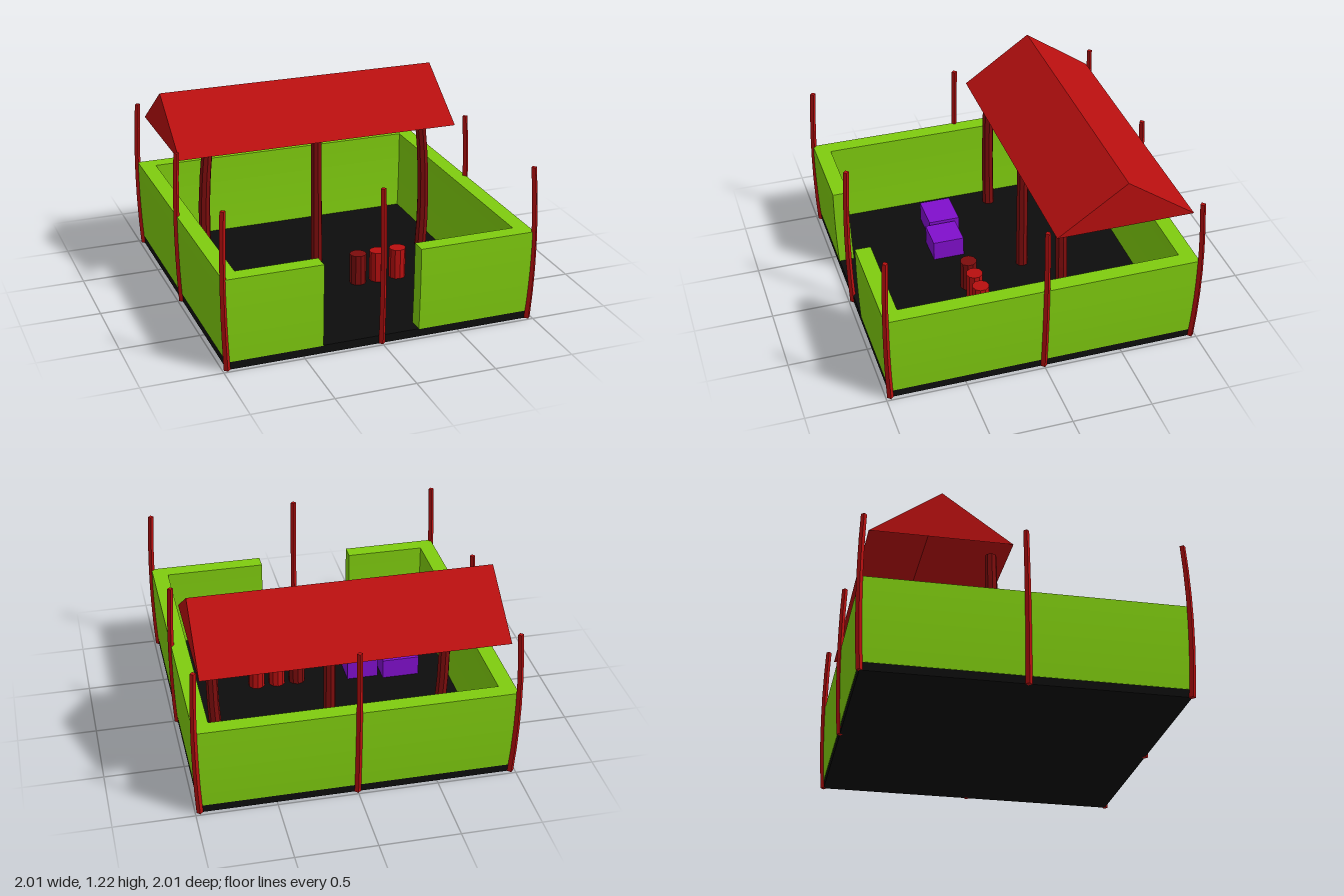
import * as THREE from 'three';

const mat = (name, color) => Object.assign(new THREE.MeshStandardMaterial({ color }), { name });

// Outward bulge shared by walls, poles and posts
const bow = (y) => 0.016 * (1 - ((y - 0.5) / 0.5) ** 2);

// Move every vertex by a rule, then give the geometry flat facets
function reshape(geometry, rule) {
  const g = geometry.index ? geometry.toNonIndexed() : geometry;
  const pos = g.attributes.position;
  const v = new THREE.Vector3();
  for (let i = 0; i < pos.count; i++) {
    v.fromBufferAttribute(pos, i);
    rule(v);
    pos.setXYZ(i, v.x, v.y, v.z);
  }
  g.computeVertexNormals();
  return g;
}

export function createModel() {
  const green = mat('wall green', 0x7fcc0f);
  const red = mat('red', 0xb80f0f);
  const darkRed = mat('dark red', 0x7c0c0c);
  const purple = mat('purple', 0x800fcc);
  const black = mat('floor black', 0x0d0d0d);
  const roofRed = mat('roof red', 0xb80f0f);
  roofRed.side = THREE.DoubleSide;

  const model = new THREE.Group();
  model.name = 'walledShelter';
  const add = (name, geometry, material, x = 0, y = 0, z = 0) => {
    const mesh = new THREE.Mesh(geometry, material);
    mesh.name = name;
    mesh.position.set(x, y, z);
    model.add(mesh);
    return mesh;
  };

  // Floor slab
  const edge = 0.972;
  add('floor', new THREE.BoxGeometry(edge * 2, 0.052, edge * 2), black, 0, 0.026, 0);

  // One continuous wall with a gateway in the front
  const inner = 0.872, gateL = -0.375, gateR = 0.24;
  const plan = new THREE.Shape([
    [gateL, -edge], [gateL, -inner], [-inner, -inner], [-inner, inner],
    [inner, inner], [inner, -inner], [gateR, -inner], [gateR, -edge],
    [edge, -edge], [edge, edge], [-edge, edge], [-edge, -edge],
  ].map(([x, y]) => new THREE.Vector2(x, y)));
  const wall = new THREE.ExtrudeGeometry(plan, { depth: 0.535, steps: 6, bevelEnabled: false });
  wall.rotateX(-Math.PI / 2).translate(0, 0.05, 0);
  add('wall', reshape(wall, (v) => {
    if (Math.abs(v.x) > 0.8) v.x += Math.sign(v.x) * bow(v.y);
    if (Math.abs(v.z) > 0.8) v.z += Math.sign(v.z) * bow(v.y);
  }), green);

  // Bowed poles around the perimeter
  for (const sx of [-1, 0, 1]) {
    for (const sz of [-1, 0, 1]) {
      if (!sx && !sz) continue;
      const pole = new THREE.CylinderGeometry(0.018, 0.02, 1, 4, 6).translate(0, 0.5, 0);
      add('pole', reshape(pole, (v) => {
        const y = v.y;
        v.x += sx * (0.972 + bow(y));
        v.z += sz * (0.972 + bow(y)) - 0.008 * y;
      }), red);
    }
  }

  // Open-bottomed gable roof
  const hx = 0.935, eave = 0.918, ridge = 1.22, zBack = -0.945, zMid = -0.512, zFront = -0.078;
  const A = [-hx, eave, zFront], B = [hx, eave, zFront], C = [hx, ridge, zMid];
  const D = [-hx, ridge, zMid], E = [hx, eave, zBack], F = [-hx, eave, zBack];
  const roof = new THREE.BufferGeometry();
  roof.setAttribute('position', new THREE.Float32BufferAttribute(
    [A, B, C, A, C, D, E, F, D, E, D, C, B, E, C, F, A, D].flat(), 3));
  roof.computeVertexNormals();
  add('roof', roof, roofRed);

  // Posts under the front eave, the outer two leaning in at the top
  for (const s of [-1, 0, 1]) {
    const post = new THREE.CylinderGeometry(0.036, 0.04, 0.89, 8, 5).translate(0, 0.495, 0);
    add('roofPost', reshape(post, (v) => {
      v.x += s * (0.745 + 1.3 * bow(v.y) - 0.025 * v.y ** 2);
      v.z -= 0.175;
    }), darkRed);
  }

  // Purple crates
  for (const [x, z, w] of [[-0.557, 0.232, 0.245], [-0.303, 0.268, 0.205]]) {
    add('crate', new THREE.BoxGeometry(w, 0.14, 0.205), purple, x, 0.115, z);
  }

  // Row of stools
  [darkRed, red, red].forEach((material, i) => {
    const stool = new THREE.CylinderGeometry(0.054, 0.054, 0.205, 10);
    add('stool', reshape(stool, () => {}), material, 0.135 + i * 0.136, 0.15, 0.232);
  });

  return model;
}
